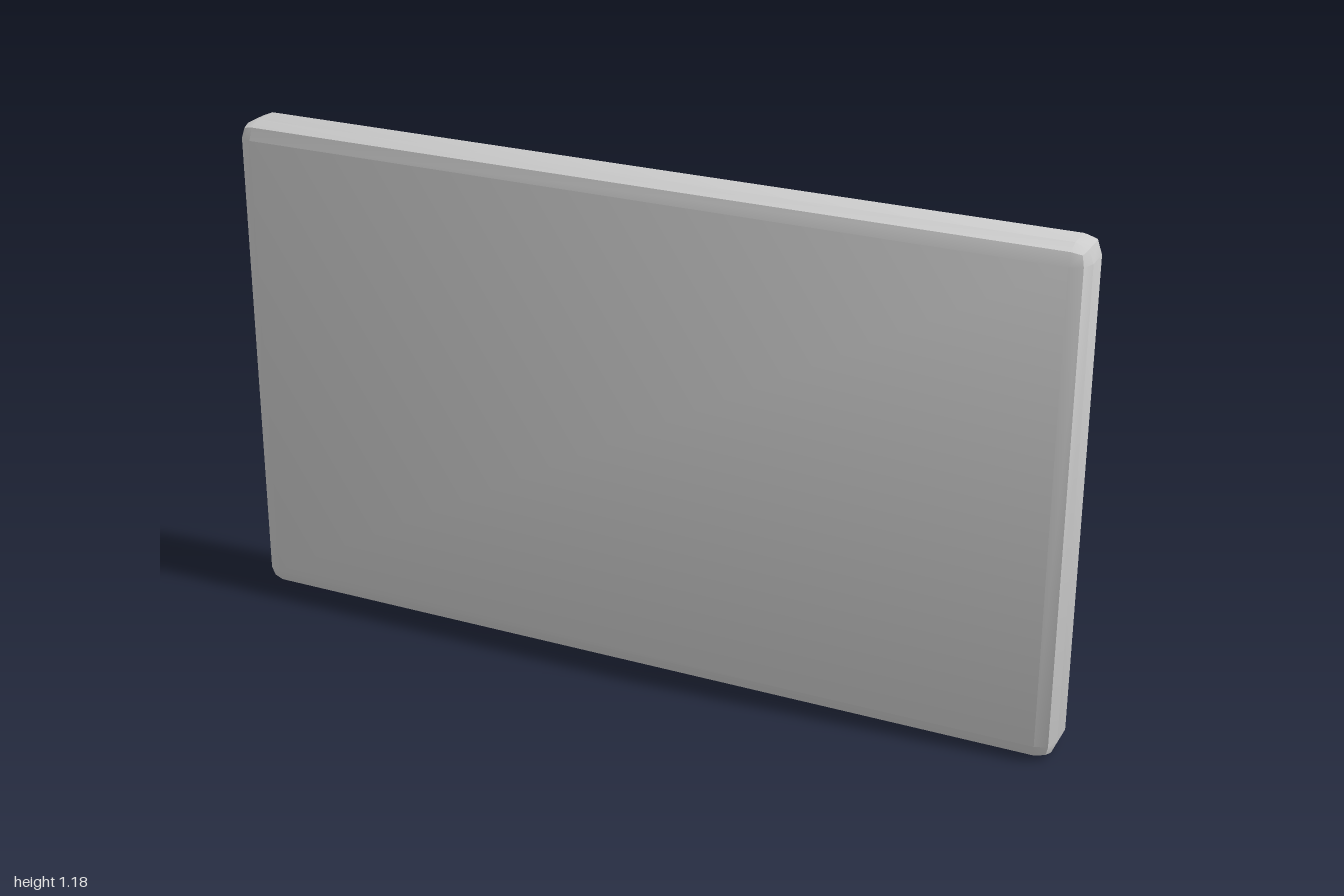
import * as THREE from 'three';
import { toCreasedNormals } from 'three/addons/utils/BufferGeometryUtils.js';
import { RoundedBoxGeometry } from 'three/addons/geometries/RoundedBoxGeometry.js';

export function createModel() {
  const model = new THREE.Group();
  model.name = 'wallPanel';

  const grey = new THREE.MeshStandardMaterial({ name: 'light grey', color: 0xcccccc });
  const red = new THREE.MeshStandardMaterial({ name: 'red', color: 0xb82210 });

  // Upright slab with a two-step bevel, creased only along the sharper middle edge
  const slab = new RoundedBoxGeometry(2, 1.18, 0.14, 1, 0.04);
  const panel = new THREE.Mesh(toCreasedNormals(slab, Math.PI / 6), grey);
  panel.name = 'panel';
  panel.position.set(0, 0.59, 0.055);
  model.add(panel);

  // Tilted block sunk into the back of the panel
  const bracket = new THREE.Mesh(new THREE.BoxGeometry(0.296, 0.41, 0.16), red);
  bracket.name = 'backBracket';
  bracket.position.set(0, 0.586, -0.0133);
  bracket.rotation.x = 0.145;
  model.add(bracket);

  return model;
}
